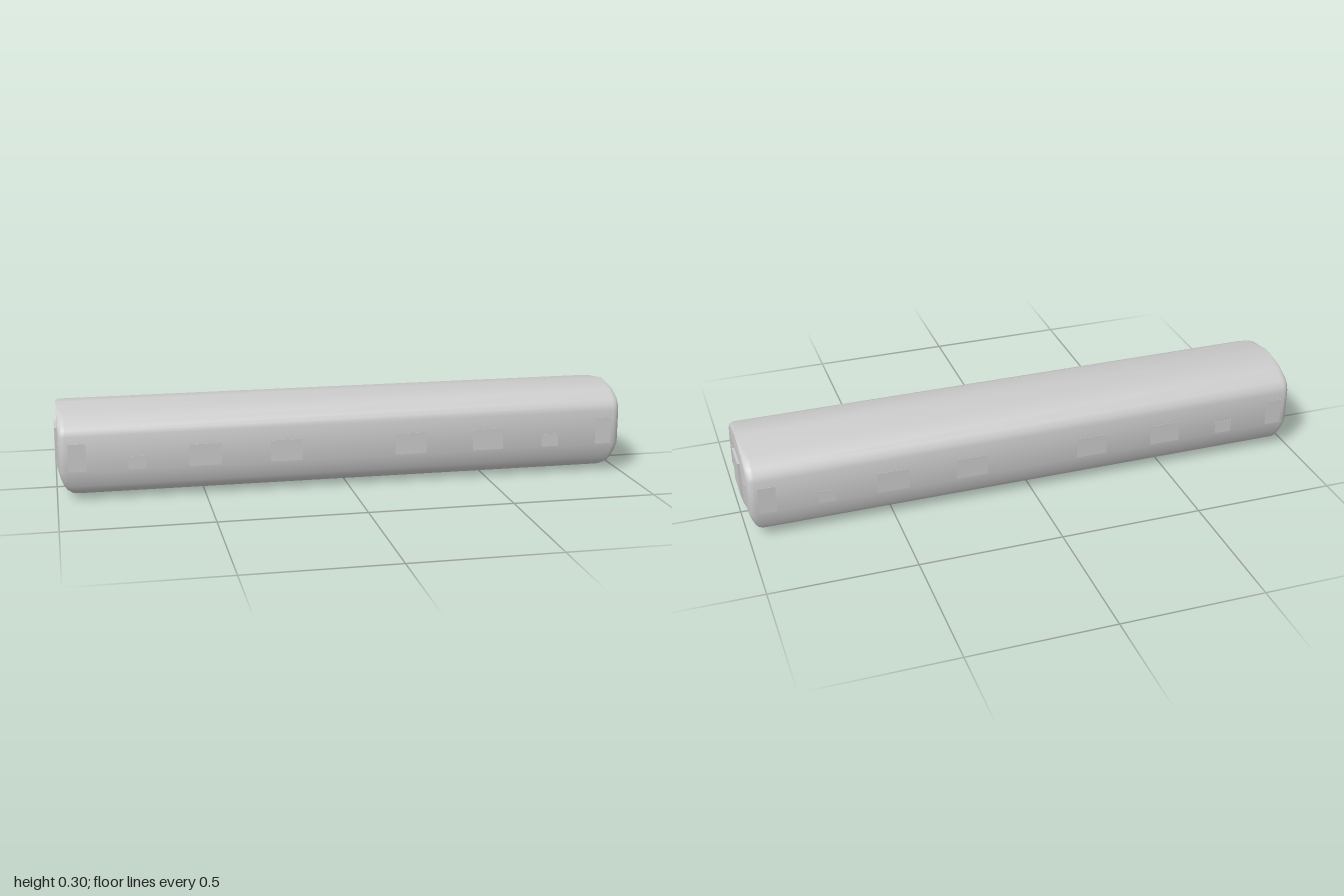
import * as THREE from 'three';
import { toCreasedNormals } from 'three/addons/utils/BufferGeometryUtils.js';

const material = new THREE.MeshStandardMaterial({ color: 0xcccccc });

// Levels of the car body: [height, half width, half length]
const LEVELS = [
  [0, 0.085, 0.935], [0.015, 0.142, 0.953], [0.035, 0.174, 0.968], [0.05, 0.181, 0.976],
  [0.07, 0.187, 0.984], [0.103, 0.195, 0.992], [0.225, 0.195, 0.992], [0.245, 0.187, 0.992],
  [0.262, 0.172, 0.992], [0.287, 0.121, 0.992], [0.303, 0, 0.992],
];
const CORNER = 0.025;
const STEPS = 4;

// Rounded-rectangle outline at one level
function ring([y, w, l]) {
  const r = Math.min(CORNER, w);
  const points = [];
  for (let c = 0; c < 4; c++) {
    const sx = c === 0 || c === 3 ? 1 : -1;
    const sz = c < 2 ? 1 : -1;
    for (let i = 0; i <= STEPS; i++) {
      const a = (c + i / STEPS) * Math.PI / 2;
      points.push(sx * (l - r) + r * Math.cos(a), y, sz * (w - r) + r * Math.sin(a));
    }
  }
  return points;
}

// Body shell lofted through the levels, closed underneath
function bodyGeometry() {
  const n = 4 * (STEPS + 1);
  const positions = LEVELS.flatMap(ring);
  const index = [];
  for (let k = 0; k < LEVELS.length - 1; k++) {
    for (let i = 0; i < n; i++) {
      const a = k * n + i, b = k * n + (i + 1) % n;
      index.push(a, a + n, b, b, a + n, b + n);
    }
  }
  const centre = positions.length / 3;
  positions.push(0, 0, 0);
  for (let i = 0; i < n; i++) index.push(centre, i, (i + 1) % n);
  const geometry = new THREE.BufferGeometry();
  geometry.setAttribute('position', new THREE.Float32BufferAttribute(positions, 3));
  geometry.setIndex(index);
  return toCreasedNormals(geometry, 0.7);
}

// End door that follows the curve of the car end
function endDoorGeometry() {
  const profile = LEVELS.filter(([y]) => y >= 0.05 && y <= 0.225);
  const shape = new THREE.Shape();
  shape.moveTo(0.96, 0.05);
  profile.forEach(([y, , l]) => shape.lineTo(l + 0.008, y));
  shape.lineTo(0.96, 0.225);
  const geometry = new THREE.ExtrudeGeometry(shape, { depth: 0.11, bevelEnabled: false });
  geometry.translate(0, 0, -0.055);
  return geometry;
}

export function createModel() {
  const car = new THREE.Group();
  car.name = 'railCar';
  const add = (name, geometry, parent = car) => {
    const mesh = new THREE.Mesh(geometry, material);
    mesh.name = name;
    parent.add(mesh);
    return mesh;
  };
  add('body', bodyGeometry());

  // Nearly flush side panels: [name, x, width, bottom, top]
  const panels = [
    ['sideWindow', 0.5, 0.11, 0.105, 0.18], ['sideWindow', 0.22, 0.11, 0.105, 0.18],
    ['smallWindow', 0.73, 0.06, 0.105, 0.15], ['sideDoor', 0.93, 0.06, 0.105, 0.2],
  ];
  for (const side of [1, -1]) {
    for (const end of [1, -1]) {
      for (const [name, x, width, bottom, top] of panels) {
        add(name, new THREE.BoxGeometry(width, top - bottom, 0.004))
          .position.set(end * x, (bottom + top) / 2, side * 0.194);
      }
    }
  }

  // Both car ends: a raised door with a window on each side
  const door = endDoorGeometry();
  for (const turn of [0, Math.PI]) {
    const end = new THREE.Group();
    end.name = 'carEnd';
    end.rotation.y = turn;
    car.add(end);
    add('endDoor', door, end);
    for (const z of [-0.11, 0.11]) {
      add('endWindow', new THREE.BoxGeometry(0.004, 0.08, 0.06), end).position.set(0.991, 0.15, z);
    }
  }
  return car;
}
